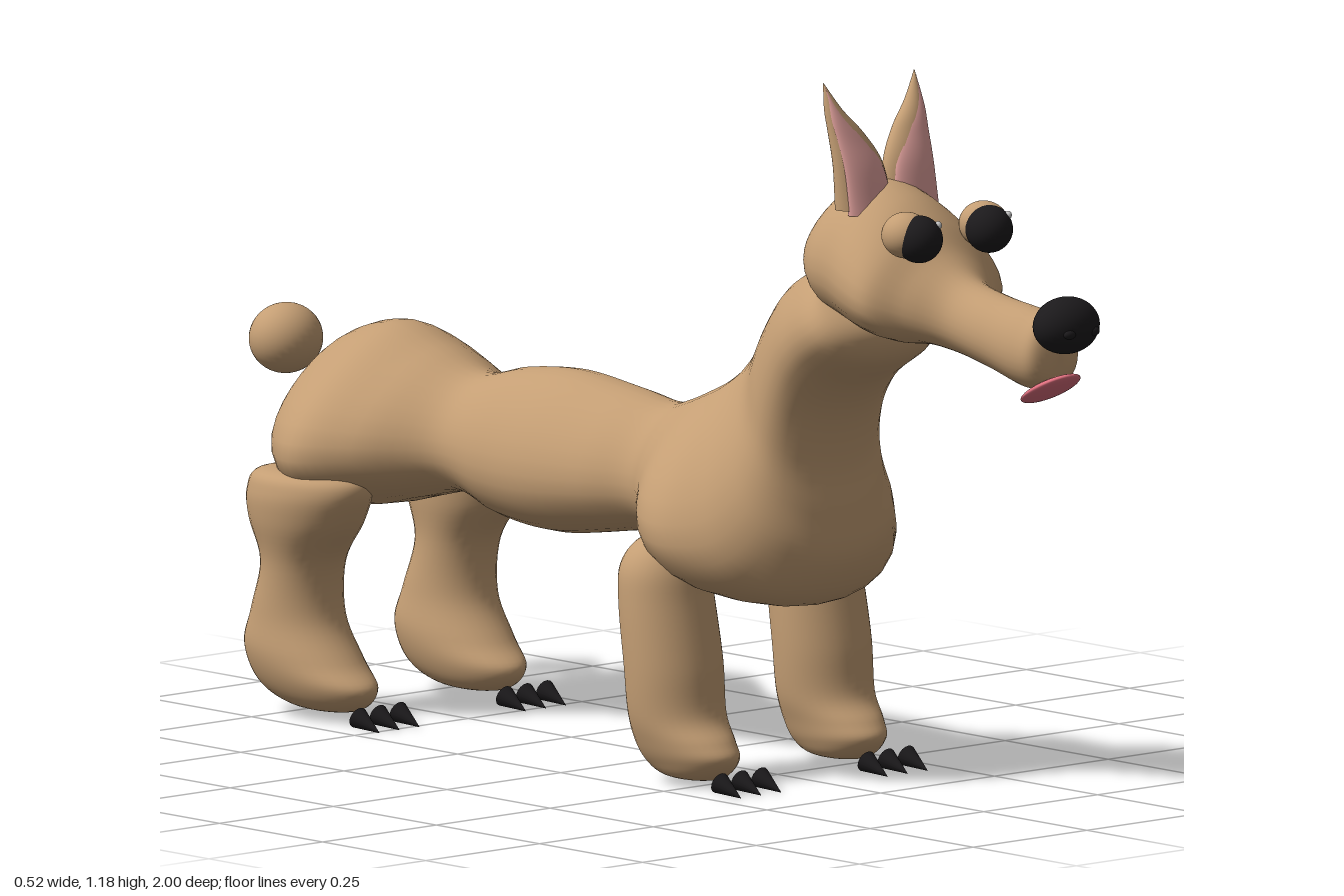
import * as THREE from 'three';

const mat = (color) => new THREE.MeshStandardMaterial({ color });
const FUR = mat(0xc49e74), BLACK = mat(0x1c1a1c), PINK = mat(0xe0a09c), TONGUE = mat(0xe0707f), WHITE = mat(0xffffff);

// Smooth skin over rounded sections. Each row: [z1, y1, z2, y2, halfWidth, centreX],
// where (z1, y1) and (z2, y2) are the two ends of the section in the side plane.
// With pear above 0, wide sections grow heavier towards their second end.
function loft(rows, pear = 0, segs = 32, sub = 6) {
  const a = new THREE.CatmullRomCurve3(rows.map((r) => new THREE.Vector3(r[4], r[1], r[0])), false, 'catmullrom');
  const b = new THREE.CatmullRomCurve3(rows.map((r) => new THREE.Vector3(r[5] || 0, r[3], r[2])), false, 'catmullrom');
  const n = (rows.length - 1) * sub, pos = [], idx = [];
  for (let i = 0; i <= n; i++) {
    const p = a.getPoint(i / n), q = b.getPoint(i / n), w = Math.max(p.x, 0);
    for (let j = 0; j < segs; j++) {
      const t = (j / segs) * Math.PI * 2, c = Math.cos(t);
      pos.push(
        q.x + Math.sin(t) * w * (1 - pear * w * c),
        (p.y + q.y) / 2 + (c / 2) * (p.y - q.y),
        (p.z + q.z) / 2 + (c / 2) * (p.z - q.z));
      if (i < n) {
        const k = i * segs + j, l = i * segs + ((j + 1) % segs);
        idx.push(k, k + segs, l, l, k + segs, l + segs);
      }
    }
  }
  const g = new THREE.BufferGeometry();
  g.setAttribute('position', new THREE.Float32BufferAttribute(pos, 3));
  g.setIndex(idx);
  g.computeVertexNormals();
  return g;
}

export function createModel() {
  const model = new THREE.Group();
  const add = (name, geometry, material, parent = model) => {
    const m = new THREE.Mesh(geometry, material);
    m.name = name;
    parent.add(m);
    return m;
  };
  const ball = (name, material, [x, y, z], [rx, ry, rz], parent) => {
    const m = add(name, new THREE.SphereGeometry(1, 32, 20), material, parent);
    m.position.set(x, y, z);
    m.scale.set(rx, ry, rz);
    return m;
  };

  // Rump, barrel, chest and neck in one skin
  add('body', loft([
    [-0.825, 0.5, -0.825, 0.5, 0],
    [-0.815, 0.56, -0.81, 0.42, 0.1],
    [-0.765, 0.615, -0.76, 0.365, 0.185],
    [-0.66, 0.645, -0.66, 0.345, 0.232],
    [-0.56, 0.615, -0.57, 0.365, 0.19],
    [-0.46, 0.582, -0.46, 0.385, 0.115],
    [-0.35, 0.605, -0.35, 0.355, 0.122],
    [-0.23, 0.615, -0.23, 0.347, 0.13],
    [-0.1, 0.602, -0.1, 0.365, 0.122],
    [0, 0.59, 0, 0.38, 0.108],
    [0.06, 0.605, 0.08, 0.37, 0.145],
    [0.12, 0.63, 0.17, 0.325, 0.205],
    [0.16, 0.65, 0.26, 0.298, 0.218],
    [0.195, 0.675, 0.36, 0.302, 0.19],
    [0.215, 0.695, 0.41, 0.37, 0.155],
    [0.235, 0.72, 0.41, 0.45, 0.13],
    [0.265, 0.77, 0.4, 0.53, 0.122],
    [0.31, 0.825, 0.415, 0.61, 0.122],
    [0.36, 0.856, 0.455, 0.67, 0.127],
    [0.405, 0.87, 0.53, 0.725, 0.128],
    [0.43, 0.86, 0.54, 0.78, 0.09],
    [0.49, 0.82, 0.49, 0.82, 0],
  ], 2), FUR);
  ball('tail', FUR, [0, 0.58, -0.942], [0.063, 0.058, 0.058]);

  // Skull, cheeks and snout in one skin, then nose and tongue
  const head = new THREE.Group();
  head.name = 'head';
  model.add(head);
  add('skull', loft([
    [0.39, 0.9, 0.39, 0.9, 0],
    [0.405, 0.955, 0.402, 0.85, 0.075],
    [0.45, 1.003, 0.45, 0.802, 0.116],
    [0.51, 1.022, 0.51, 0.782, 0.13],
    [0.57, 1.003, 0.575, 0.77, 0.147],
    [0.62, 0.965, 0.63, 0.766, 0.146],
    [0.665, 0.915, 0.672, 0.768, 0.105],
    [0.72, 0.88, 0.725, 0.757, 0.064],
    [0.8, 0.862, 0.8, 0.74, 0.058],
    [0.88, 0.852, 0.88, 0.72, 0.058],
    [0.92, 0.84, 0.925, 0.73, 0.05],
    [0.938, 0.785, 0.938, 0.785, 0],
  ], 2), FUR, head);
  ball('nose', BLACK, [0, 0.833, 0.95], [0.061, 0.047, 0.046], head);
  ball('tongue', TONGUE, [0, 0.724, 0.912], [0.047, 0.011, 0.058], head).rotation.x = -0.5;

  // Ear sections run from tip to base; the lining sits slightly proud of the front
  const ear = [
    [0.472, 1.185, 0.47, 1.185, 0, 0.1],
    [0.495, 1.14, 0.47, 1.14, 0.017, 0.088],
    [0.512, 1.1, 0.474, 1.1, 0.035, 0.07],
    [0.53, 1.05, 0.48, 1.05, 0.05, 0.055],
    [0.545, 0.98, 0.482, 0.98, 0.056, 0.05],
  ];
  const lining = ear.map(([z1, y1, z2, y2, w, x]) =>
    [z1 + 0.004, y1 - 0.008, (z1 + z2) / 2, y2 - 0.008, w * 0.84, x]);
  const mirrored = (rows, s) => rows.map((r) => [...r.slice(0, 5), r[5] * s]);

  const frontLeg = [
    [0.155, 0.41, 0.155, 0.41, 0, 0.16],
    [0.205, 0.4, 0.11, 0.4, 0.045, 0.16],
    [0.225, 0.36, 0.085, 0.36, 0.075, 0.162],
    [0.235, 0.3, 0.087, 0.3, 0.083, 0.163],
    [0.255, 0.2, 0.1, 0.2, 0.085, 0.163],
    [0.267, 0.12, 0.105, 0.12, 0.08, 0.163],
    [0.3, 0.08, 0.112, 0.07, 0.07, 0.163],
    [0.315, 0.052, 0.13, 0.038, 0.06, 0.161],
    [0.285, 0.02, 0.165, 0.02, 0.042, 0.16],
    [0.23, 0.013, 0.23, 0.013, 0, 0.16],
  ];
  const hindLeg = [
    [-0.69, 0.42, -0.69, 0.42, 0, 0.17],
    [-0.595, 0.412, -0.79, 0.41, 0.068, 0.173],
    [-0.57, 0.385, -0.813, 0.375, 0.084, 0.175],
    [-0.593, 0.33, -0.808, 0.33, 0.082, 0.174],
    [-0.643, 0.26, -0.783, 0.26, 0.07, 0.17],
    [-0.645, 0.17, -0.81, 0.18, 0.073, 0.167],
    [-0.6, 0.1, -0.832, 0.12, 0.08, 0.165],
    [-0.56, 0.06, -0.81, 0.06, 0.07, 0.163],
    [-0.59, 0.025, -0.75, 0.028, 0.045, 0.161],
    [-0.67, 0.016, -0.67, 0.016, 0, 0.16],
  ];

  for (const [s, side] of [[1, 'left'], [-1, 'right']]) {
    // Face
    ball(side + 'EyeSocket', FUR, [s * 0.085, 0.955, 0.656], [0.04, 0.038, 0.042], head);
    ball(side + 'Eye', BLACK, [s * 0.077, 0.95, 0.678], [0.039, 0.039, 0.039], head);
    ball(side + 'EyeGlint', WHITE, [s * 0.077 + 0.022, 0.973, 0.7], [0.006, 0.007, 0.006], head);
    ball(side + 'Nostril', BLACK, [s * 0.026, 0.825, 0.987], [0.012, 0.008, 0.008], head);
    add(side + 'Ear', loft(mirrored(ear, s)), FUR, head);
    add(side + 'EarLining', loft(mirrored(lining, s)), PINK, head);

    // Legs with three claws just ahead of each foot
    for (const [part, rows, z] of [['Front', frontLeg, 0.362], ['Hind', hindLeg, -0.515]]) {
      add(side + part + 'Leg', loft(mirrored(rows, s)), FUR);
      for (const x of [0.117, 0.161, 0.205]) {
        const claw = add(side + part + 'Claw', new THREE.ConeGeometry(0.018, 0.056, 16), BLACK);
        claw.position.set(s * x, 0.015, z);
        claw.rotation.x = Math.PI / 2 + 0.35;
      }
    }
  }
  return model;
}
